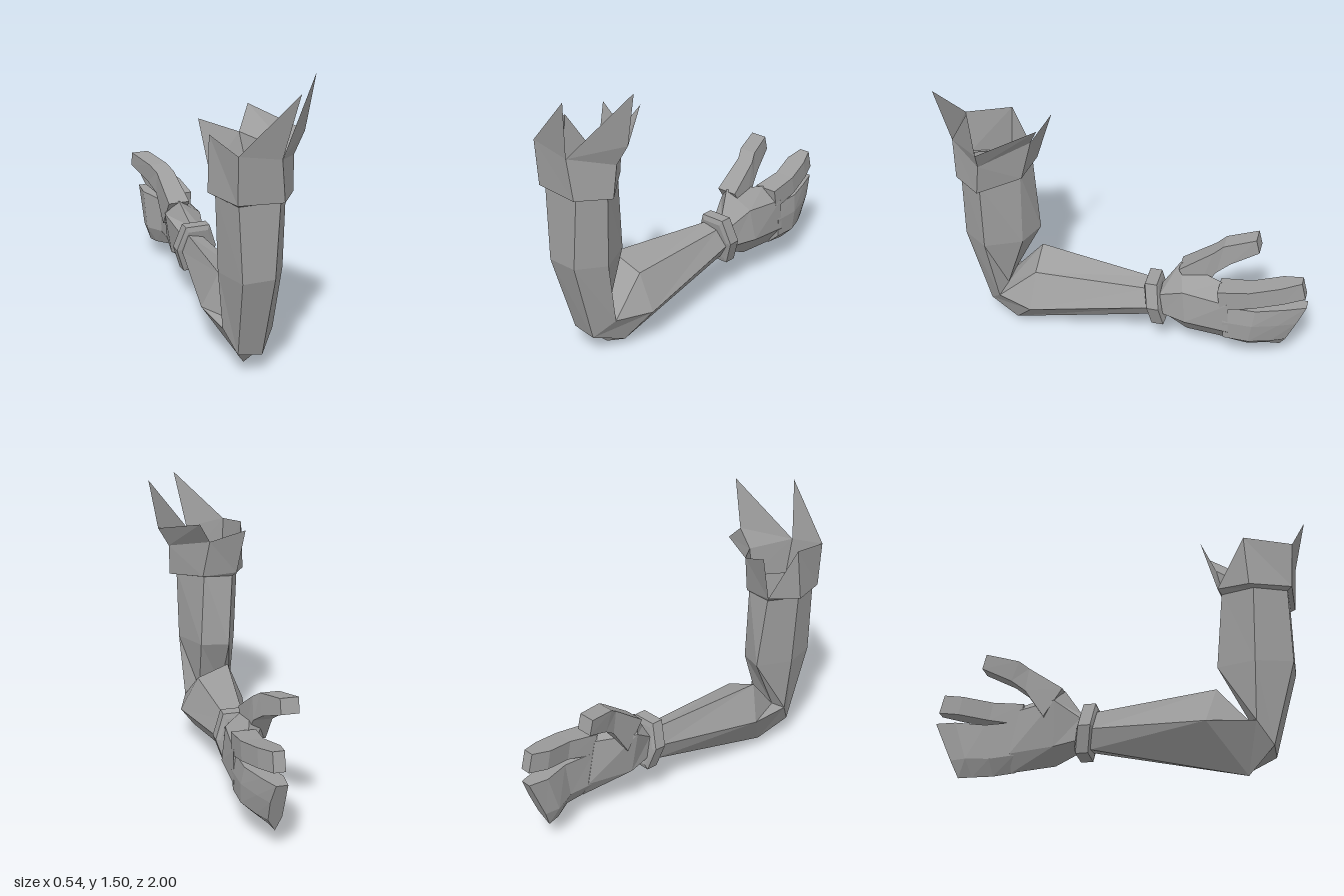
import * as THREE from 'three';

const grey = new THREE.MeshStandardMaterial({ color: 0x9e9e9e, flatShading: true, side: THREE.DoubleSide });
grey.name = 'grey';

// Mesh from convex faces, each a fan of [x, y, z] corners
function faceMesh(name, faces) {
  const pos = [];
  for (const f of faces)
    for (let i = 1; i < f.length - 1; i++) pos.push(...f[0], ...f[i], ...f[i + 1]);
  const geo = new THREE.BufferGeometry();
  geo.setAttribute('position', new THREE.Float32BufferAttribute(pos, 3));
  geo.computeVertexNormals();
  const mesh = new THREE.Mesh(geo, grey);
  mesh.name = name;
  return mesh;
}

// Faces joining successive rings of equal corner count
function loft(rings, capStart = false, capEnd = false) {
  const faces = [];
  for (let r = 0; r < rings.length - 1; r++) {
    const p = rings[r], q = rings[r + 1], n = p.length;
    for (let i = 0; i < n; i++) {
      const j = (i + 1) % n;
      faces.push([p[i], q[i], q[j], p[j]]);
    }
  }
  if (capStart) faces.push(rings[0]);
  if (capEnd) faces.push([...rings[rings.length - 1]].reverse());
  return faces;
}

// Four-sided ring: x range, bottom and top heights with their own z
const quad = (x0, x1, y0, z0, y1, z1) => [[x1, y1, z1], [x0, y1, z1], [x0, y0, z0], [x1, y0, z0]];

export function createModel() {
  const model = new THREE.Group();

  // Bent arm: one six-sided tube from the open shoulder to the wrist
  const shoulder = [[-0.19, 0.96, 0.9], [0.025, 0.96, 0.9], [0.11, 0.96, 0.77], [-0.01, 0.98, 0.58], [-0.17, 0.98, 0.56], [-0.24, 0.97, 0.73]];
  const arm = [
    shoulder,
    [[-0.17, 0.55, 0.91], [0, 0.55, 0.91], [0.1, 0.55, 0.77], [0.01, 0.55, 0.58], [-0.14, 0.56, 0.52], [-0.22, 0.55, 0.72]],
    [[-0.14, 0.12, 0.79], [-0.01, 0.1, 0.79], [0.08, 0.2, 0.71], [0, 0.24, 0.68], [-0.13, 0.26, 0.67], [-0.19, 0.24, 0.71]],
    [[-0.05, 0, 0.65], [0.05, 0.04, 0.62], [0.15, 0.19, 0.51], [0.05, 0.38, 0.5], [-0.13, 0.445, 0.51], [-0.205, 0.25, 0.46]],
    [[-0.04, 0.2, -0.16], [0.04, 0.21, -0.16], [0.09, 0.29, -0.15], [0.035, 0.38, -0.14], [-0.05, 0.4, -0.14], [-0.08, 0.3, -0.15]],
  ];
  model.add(faceMesh('arm', loft(arm)));

  // Torn sleeve cuff: lower hem, then jagged panels rising from it
  const [A0, B0, C0, E0, N0, L0] = [[-0.205, 0.955, 0.925], [0.035, 0.94, 0.925], [0.15, 0.935, 0.77], [0, 0.965, 0.57], [-0.19, 0.985, 0.54], [-0.27, 0.96, 0.71]];
  const A = [-0.21, 1.2, 0.94], B = [0.01, 1.16, 0.94], C = [0.157, 1.11, 0.75];
  const D = [0.22, 1.22, 0.735], V = [-0.03, 1.18, 0.52], L = [-0.255, 1.24, 0.69];
  const frontTip = [0.07, 1.48, 1], sideTip = [0.27, 1.5, 0.74];
  const backTip = [0.04, 1.3, 0.46], innerTip = [-0.22, 1.25, 0.46];
  model.add(faceMesh('sleeveCuff', [
    ...loft([[A0, B0, C0, E0, N0, L0], shoulder.map(([x, y, z]) => [x, y - 0.02, z])]),
    [A, A0, B0, B, frontTip],
    [B, B0, C0, C, D, sideTip],
    [C, C0, E0, V, backTip, D],
    [V, E0, N0, innerTip],
    [L, N0, L0],
    [L, L0, A0, A],
  ]));

  // Wrist band with bevelled rims
  const bandRing = (z, s) => [[-0.6, -1], [0.6, -1], [1, 0], [0.6, 1], [-0.6, 1], [-1, 0]]
    .map(([x, y]) => [0.005 + 0.115 * s * x, 0.31 + 0.135 * s * y, z + 0.02 * y]);
  model.add(faceMesh('wristBand', loft([bandRing(-0.14, 0.8), bandRing(-0.148, 1), bandRing(-0.213, 1), bandRing(-0.222, 0.8)], true, true)));

  // Hand, palm towards -x
  const hand = new THREE.Group();
  hand.name = 'hand';
  const palm = [
    [[0, 0.41, -0.21], [-0.06, 0.37, -0.21], [-0.06, 0.25, -0.22], [0.01, 0.2, -0.23], [0.08, 0.26, -0.22], [0.07, 0.38, -0.21]],
    [[-0.04, 0.54, -0.3], [-0.11, 0.46, -0.34], [-0.07, 0.22, -0.35], [0.04, 0.15, -0.36], [0.125, 0.26, -0.36], [0.1, 0.44, -0.34]],
    [[0.03, 0.5, -0.54], [-0.01, 0.46, -0.55], [-0.01, 0.22, -0.6], [0.04, 0.13, -0.6], [0.125, 0.24, -0.6], [0.12, 0.42, -0.59]],
  ];
  hand.add(faceMesh('palm', loft(palm, true, true)));
  hand.add(faceMesh('indexFinger', loft([
    quad(-0.01, 0.12, 0.38, -0.55, 0.495, -0.53),
    quad(0, 0.115, 0.42, -0.72, 0.52, -0.7),
    quad(-0.04, 0.075, 0.45, -0.88, 0.55, -0.86),
    quad(-0.03, 0.03, 0.47, -0.99, 0.57, -0.965),
  ], true, true)));

  // Remaining fingers held together, curling towards the palm side
  const fingerRing = (x0, x1, y0, z0, y1, z1) => {
    const at = (x, t) => [x, y0 + (y1 - y0) * t, z0 + (z1 - z0) * t];
    return [at(x1 - 0.01, 1), at(x0, 1), at(x0, 0.3), at((x0 + x1) / 2 - 0.01, 0), at(x1, 0.25), at(x1 + 0.005, 0.65)];
  };
  hand.add(faceMesh('fingers', loft([
    fingerRing(-0.01, 0.12, 0.13, -0.58, 0.395, -0.56),
    fingerRing(0, 0.115, 0.12, -0.7, 0.395, -0.74),
    fingerRing(-0.05, 0.07, 0.105, -0.8, 0.4, -0.89),
    fingerRing(-0.04, 0.03, 0.1, -0.87, 0.405, -1),
  ], true, true)));

  // Thumb
  hand.add(faceMesh('thumb', loft([
    quad(-0.1, 0.02, 0.38, -0.4, 0.53, -0.3),
    quad(-0.105, -0.005, 0.53, -0.5, 0.655, -0.48),
    quad(-0.13, -0.03, 0.58, -0.57, 0.69, -0.53),
    quad(-0.18, -0.085, 0.64, -0.715, 0.72, -0.695),
  ], true, true)));
  model.add(hand);
  return model;
}
